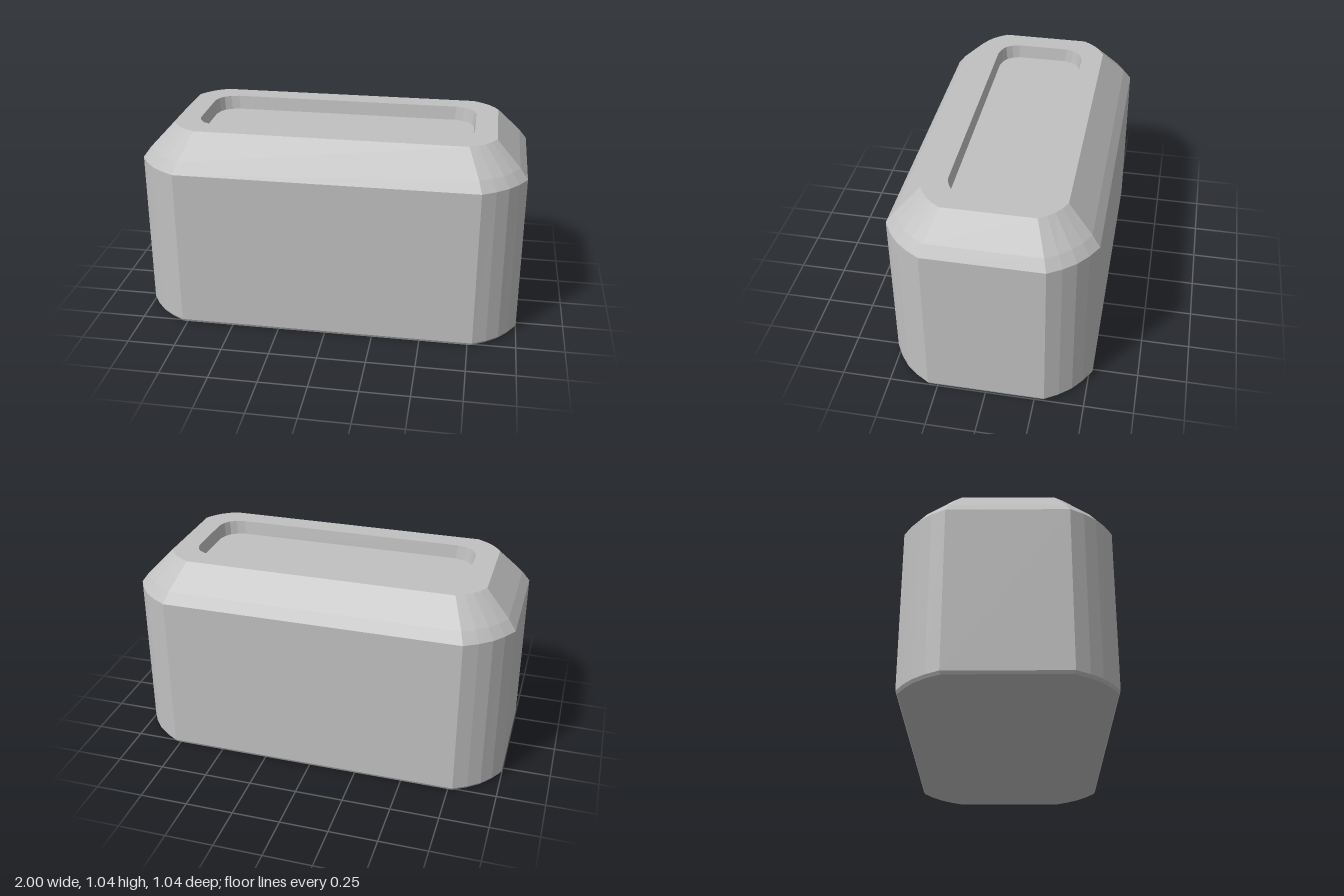
import * as THREE from 'three';

// Rounded-corner loop: half sizes hx, hz; each corner runs from (cx, hz) to (hx, cz), bulging outwards.
function ring(y, hx, hz, cx, cz, bulge, steps) {
  const corner = [];
  for (let i = 0; i <= steps; i++) {
    const t = i / steps, b = bulge * Math.sin(Math.PI * t);
    corner.push([cx + (hx - cx) * (t + b), hz - (hz - cz) * (t - b)]);
  }
  const back = corner.slice().reverse();
  return [
    ...corner.map(([x, z]) => [x, y, z]),
    ...back.map(([x, z]) => [x, y, -z]),
    ...corner.map(([x, z]) => [-x, y, -z]),
    ...back.map(([x, z]) => [-x, y, z]),
  ];
}

// Skin consecutive rings, optionally closing the first or last one.
function loft(name, rings, material, { capStart = false, capEnd = false } = {}) {
  const n = rings[0].length, pos = [];
  const tri = (a, b, c) => pos.push(...a, ...b, ...c);
  for (let r = 0; r < rings.length - 1; r++) {
    for (let i = 0; i < n; i++) {
      const j = (i + 1) % n, lo = rings[r], hi = rings[r + 1];
      tri(lo[i], lo[j], hi[j]);
      tri(lo[i], hi[j], hi[i]);
    }
  }
  const first = rings[0], last = rings[rings.length - 1];
  for (let i = 0; i < n; i++) {
    const j = (i + 1) % n;
    if (capStart) tri(first[j], first[i], [0, first[0][1], 0]);
    if (capEnd) tri(last[i], last[j], [0, last[0][1], 0]);
  }
  const geometry = new THREE.BufferGeometry();
  geometry.setAttribute('position', new THREE.Float32BufferAttribute(pos, 3));
  geometry.computeVertexNormals();
  const mesh = new THREE.Mesh(geometry, material);
  mesh.name = name;
  return mesh;
}

export function createModel() {
  const grey = new THREE.MeshStandardMaterial({ color: 0xc0c0c0 });
  grey.name = 'plain grey';

  const outer = (y, hx, hz, cx, cz) => ring(y, hx, hz, cx, cz, 0.09, 4);
  const inner = (y, inset) =>
    ring(y, 0.72 - inset, 0.24 - inset, 0.61 - inset, 0.14 - inset, 0.2, 4);

  const base = outer(0.015, 1, 0.518, 0.775, 0.3);
  const shoulder = outer(0.858, 0.997, 0.515, 0.775, 0.297);
  const rimOuter = outer(1.038, 0.835, 0.353, 0.7, 0.23);
  const rimInner = inner(1.038, 0);
  const floorEdge = inner(0.965, 0.008);

  const group = new THREE.Group();
  group.name = 'block';
  group.add(
    // Straight walls with a tiny bevel at the foot
    loft('body', [outer(0, 0.992, 0.51, 0.77, 0.295), base, shoulder], grey, { capStart: true }),
    // Two-step sloping shoulder
    loft('shoulder', [shoulder, outer(0.912, 0.957, 0.475, 0.757, 0.281), rimOuter], grey),
    // Flat border around the recess
    loft('topRim', [rimOuter, rimInner], grey),
    // Shallow recess in the top
    loft('recess', [rimInner, floorEdge], grey, { capEnd: true }),
  );
  return group;
}
